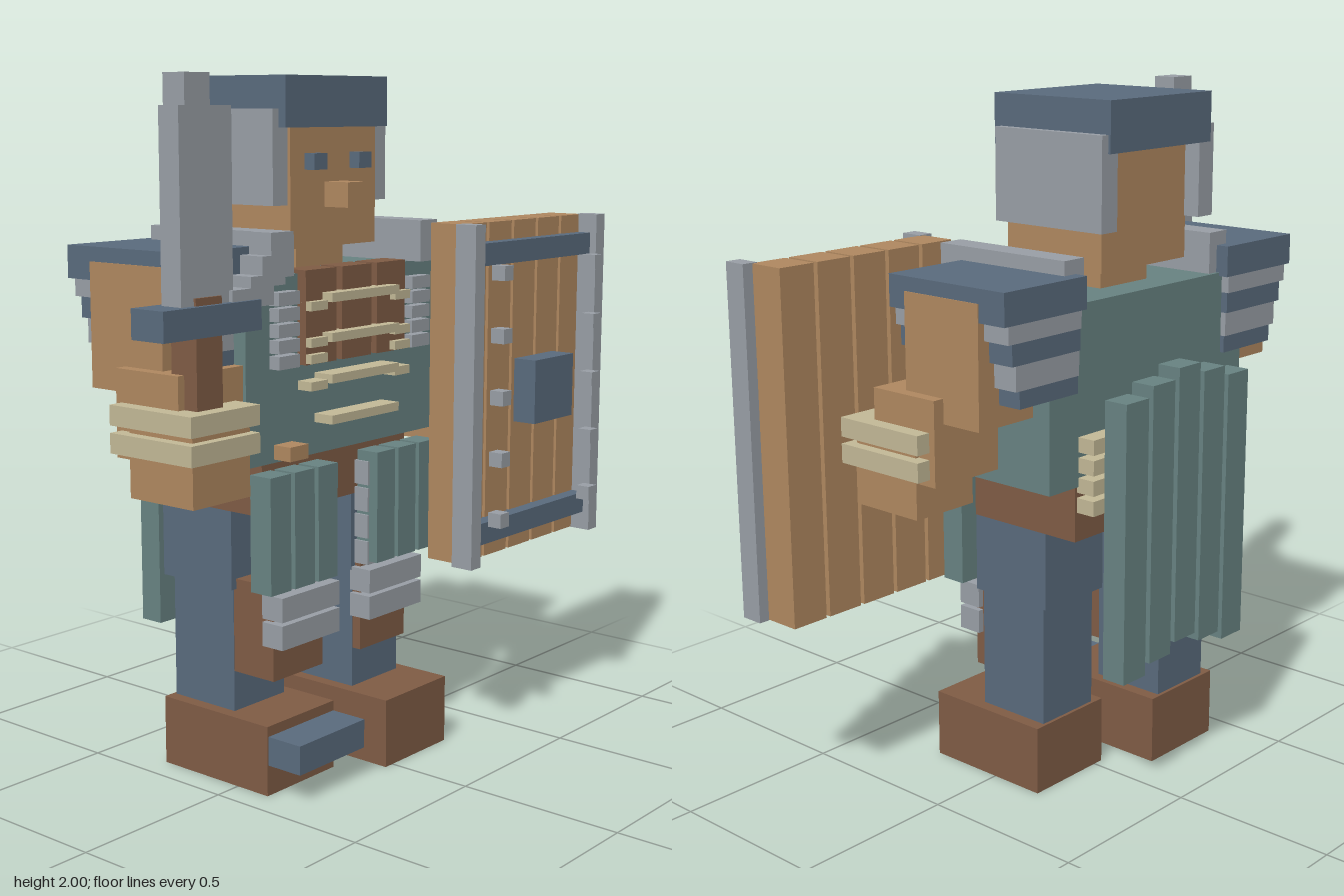
import * as THREE from 'three';

const mat = (name, color) => {
  const m = new THREE.MeshStandardMaterial({ color });
  m.name = name;
  return m;
};

export function createModel() {
  const skin = mat('tan wood and skin', 0xb08860);
  const blue = mat('slate blue', 0x5a6b7d);
  const grey = mat('steel grey', 0x999fa6);
  const green = mat('dull green', 0x688382);
  const brown = mat('leather brown', 0x805c45);
  const cream = mat('cream', 0xc3b997);

  const model = new THREE.Group();
  model.name = 'guardFigure';
  const part = (name) => {
    const g = new THREE.Group();
    g.name = name;
    model.add(g);
    return g;
  };
  // Box from its min and max on each axis
  const box = (parent, name, m, [x0, x1], [y0, y1], [z0, z1]) => {
    const mesh = new THREE.Mesh(new THREE.BoxGeometry(x1 - x0, y1 - y0, z1 - z0), m);
    mesh.position.set((x0 + x1) / 2, (y0 + y1) / 2, (z0 + z1) / 2);
    mesh.name = name;
    parent.add(mesh);
  };
  // Box on both sides of the body's middle plane, x = -0.08
  const pair = (parent, name, m, [x0, x1], y, z) => {
    box(parent, name + 'Left', m, [x0, x1], y, z);
    box(parent, name + 'Right', m, [-0.16 - x1, -0.16 - x0], y, z);
  };

  // Head
  const head = part('head');
  box(head, 'face', skin, [-0.265, 0.105], [1.53, 1.87], [-0.27, 0.075]);
  box(head, 'neck', skin, [-0.18, 0.025], [1.45, 1.54], [-0.2, 0.02]);
  box(head, 'nose', skin, [-0.12, -0.04], [1.64, 1.71], [0.06, 0.16]);
  pair(head, 'eye', blue, [-0.01, 0.045], [1.745, 1.79], [0.06, 0.11]);
  box(head, 'cap', blue, [-0.3, 0.14], [1.86, 2], [-0.328, 0.09]);
  pair(head, 'earFlap', grey, [0.1, 0.165], [1.65, 1.91], [-0.32, 0.065]);

  // Torso with chest panels, cords and side plates
  const torso = part('torso');
  box(torso, 'tunic', green, [-0.51, 0.35], [0.96, 1.47], [-0.3, 0.13]);
  box(torso, 'pelvis', brown, [-0.4, 0.24], [0.8, 0.96], [-0.295, 0.085]);
  for (const x of [-0.3, -0.145, 0.01]) {
    box(torso, 'chestPanel', brown, [x, x + 0.13], [1.22, 1.48], [0.08, 0.16]);
  }
  for (const y of [1.39, 1.28, 1.165, 1.05]) {
    box(torso, 'chestCord', cream, [-0.23, 0.07], [y, y + 0.025], [0.12, 0.195]);
  }
  for (const y of [1.37, 1.27, 1.225, 1.15]) {
    pair(torso, 'cordEnd', cream, [0.07, 0.14], [y, y + 0.025], [0.12, 0.18]);
  }
  for (let i = 0; i < 5; i++) {
    const y = 1.22 + i * 0.043;
    pair(torso, 'sidePlate', grey, [0.17, 0.255], [y, y + 0.036], [0.12, 0.165]);
  }
  for (let i = 0; i < 4; i++) {
    const y = 0.885 + i * 0.058;
    pair(torso, 'backRoll', cream, [0.015, 0.232], [y, y + 0.043], [-0.355, -0.29]);
  }
  pair(torso, 'collarBar', grey, [0.2, 0.28], [1.47, 1.59], [-0.29, 0.17]);
  box(torso, 'beltToggle', skin, [-0.4, -0.325], [0.97, 1.01], [0.12, 0.19]);

  // Stepped strap over the right shoulder
  [[-0.45, 1.51], [-0.485, 1.45], [-0.53, 1.4], [-0.6, 1.37], [-0.635, 1.34]].forEach(([x, y]) =>
    box(torso, 'shoulderStrap', grey, [x, x + 0.09], [y, y + 0.08], [0.09, 0.17]));

  // Cape planks, highest in the middle
  const cape = part('cape');
  for (let i = -2; i <= 2; i++) {
    const x = -0.08 + i * 0.115, drop = 0.03 * Math.abs(i);
    box(cape, 'capePlank', green, [x - 0.048, x + 0.048], [0.46 - drop, 1.27 - drop], [-0.44, -0.365]);
  }

  // Shoulders: top plate and tapering bands
  const arms = part('arms');
  pair(arms, 'shoulderPlate', blue, [0.235, 0.555], [1.46, 1.55], [-0.33, 0.09]);
  [[1.41, 1.46], [1.35, 1.41], [1.28, 1.35], [1.23, 1.28]].forEach((y, i) =>
    pair(arms, 'shoulderBand', i % 2 ? blue : grey, [0.25, 0.535 - 0.018 * i], y,
      [-0.325 + 0.004 * i, 0.088]));
  pair(arms, 'upperArm', skin, [0.33, 0.558], [1.17, 1.51], [-0.24, 0.03]);
  pair(arms, 'forearm', skin, [0.32, 0.593], [1, 1.24], [-0.11, 0.12]);
  pair(arms, 'hand', skin, [0.39, 0.605], [0.9, 1.14], [-0.05, 0.18]);
  for (const y of [1.02, 1.095]) {
    pair(arms, 'bracelet', cream, [0.38, 0.637], [y, y + 0.055], [-0.09, 0.208]);
  }

  // Legs: the right one stands further back
  for (const [side, mid, z] of [['left', 0.113, 0], ['right', -0.273, -0.12]]) {
    const leg = part(side + 'Leg');
    const wide = (w) => [mid - w / 2, mid + w / 2];
    box(leg, 'thigh', blue, wide(0.25), [0.57, 0.88], [z - 0.185, z + 0.085]);
    box(leg, 'shin', blue, wide(0.215), [0.19, 0.58], [z - 0.16, z + 0.075]);
    box(leg, 'boot', brown, wide(0.29), [0, 0.205], [z - 0.17, z + 0.235]);
    box(leg, 'shinPad', brown, wide(0.212), [0.325, 0.6], [z + 0.05, 0.105]);
    for (let i = 0; i < 6; i++) {
      const y = 0.43 + i * 0.08;
      box(leg, 'legSlat', grey, wide(i < 2 ? 0.248 : 0.22), [y, y + 0.07], [0.08, i < 2 ? 0.155 : 0.135]);
    }
  }
  box(model, 'rightToePlate', blue, [-0.413, -0.13], [0.09, 0.175], [0.1, 0.232]);
  const skirt = part('skirt');
  for (const x of [0.01, 0.11, 0.21]) {
    pair(skirt, 'skirtPlank', green, [x, x + 0.083], [0.6, 0.93], [0.09, 0.165]);
  }

  // Sword
  const sword = part('sword');
  box(sword, 'grip', brown, [-0.73, -0.635], [1.1, 1.44], [0.075, 0.165]);
  box(sword, 'crossGuard', blue, [-0.86, -0.5], [1.34, 1.42], [0.065, 0.18]);
  box(sword, 'blade', grey, [-0.775, -0.585], [1.42, 1.92], [0.088, 0.158]);
  box(sword, 'bladeTip', grey, [-0.76, -0.67], [1.92, 2], [0.09, 0.165]);

  // Shield
  const shield = part('shield');
  for (let i = 0; i < 5; i++) {
    const x = 0.198 + i * 0.1285;
    box(shield, 'shieldPlank', skin, [x, x + 0.115], [0.585, 1.585], [0.21, 0.325]);
    const y = 0.7 + i * 0.1815;
    for (const sx of [0.25, 0.735]) {
      box(shield, 'stud', grey, [sx, sx + 0.043], [y, y + 0.043], [0.39, 0.435]);
    }
  }
  for (const x of [0.168, 0.812]) {
    box(shield, 'edgeBar', grey, [x, x + 0.047], [0.583, 1.587], [0.32, 0.39]);
  }
  for (const y of [0.64, 1.465]) {
    box(shield, 'crossBar', blue, [0.21, 0.815], [y, y + 0.065], [0.318, 0.368]);
  }
  box(shield, 'boss', blue, [0.41, 0.615], [0.99, 1.18], [0.365, 0.44]);

  return model;
}
